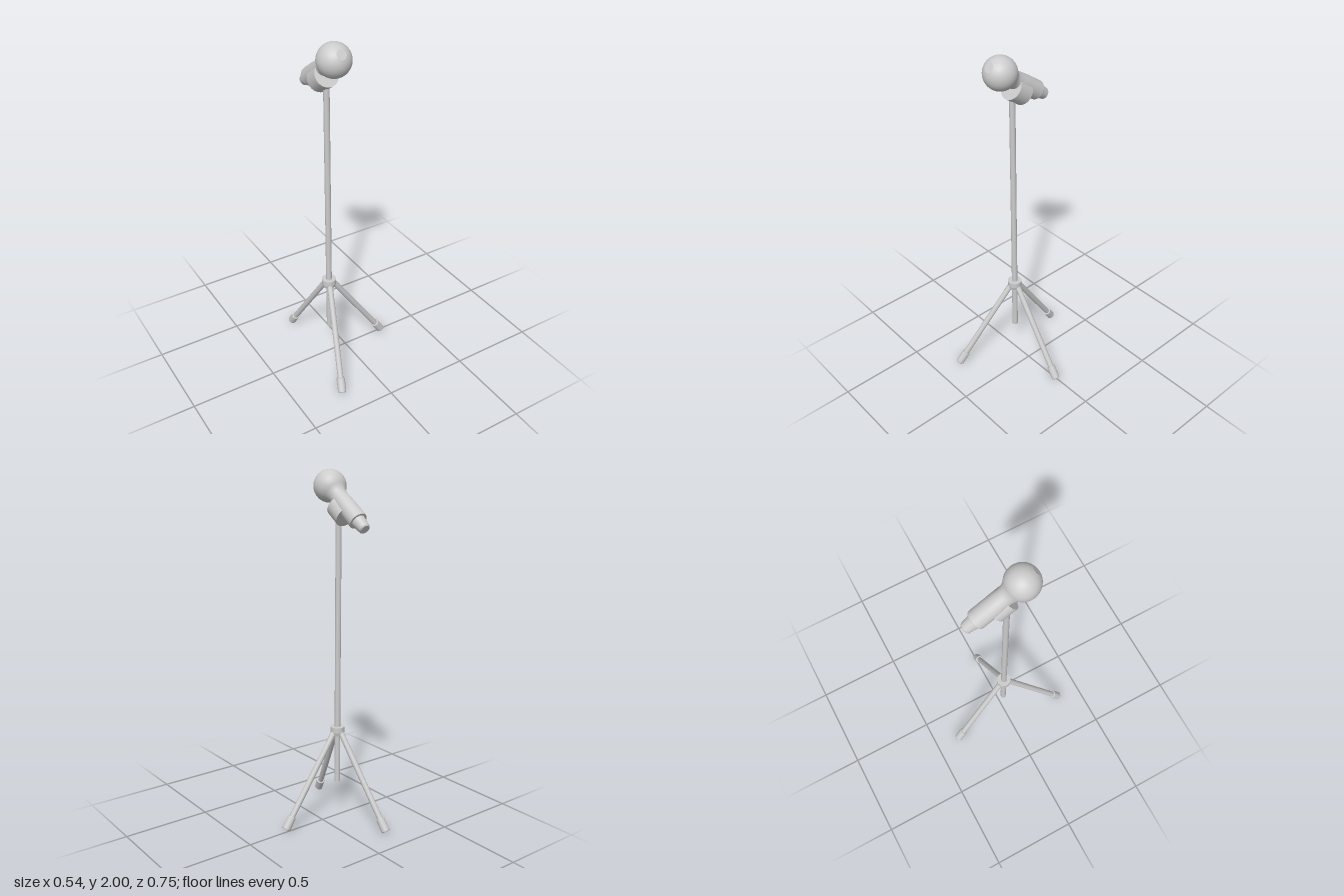
import * as THREE from 'three';

const material = new THREE.MeshStandardMaterial({ color: 0xcccccc });
const POLE_X = -0.115, POLE_Z = 0.009;

function part(name, geometry) {
  const mesh = new THREE.Mesh(geometry, material);
  mesh.name = name;
  return mesh;
}

// Lathe from [radius, height] pairs, bottom to top; a repeated pair keeps its edge sharp.
function turned(name, profile, sides = 24) {
  return part(name, new THREE.LatheGeometry(profile.map(([r, y]) => new THREE.Vector2(r, y)), sides));
}

// One leg with its rubber foot, built along local -y from the foot end upwards.
function makeLeg(azimuth) {
  const leg = new THREE.Group();
  leg.name = 'leg';
  const tilt = 0.594, length = 0.61;
  const tube = part('legTube', new THREE.CylinderGeometry(0.0165, 0.0165, length - 0.02, 16));
  tube.position.y = 0.02 + (length - 0.02) / 2;
  const foot = turned('rubberFoot', [
    [0, 0], [0.02, 0], [0.02, 0], [0.024, 0.006], [0.024, 0.006],
    [0.024, 0.078], [0.024, 0.078], [0.022, 0.081], [0.022, 0.081], [0.015, 0.081],
  ], 16);
  const slope = new THREE.Group();
  slope.add(tube, foot);
  slope.position.set(0.37, 0.0135, 0);
  slope.rotation.z = tilt;
  leg.add(slope);
  leg.rotation.y = azimuth;
  return leg;
}

// Microphone along local y, with the origin at the ball's centre.
function makeMicrophone() {
  const mic = new THREE.Group();
  mic.name = 'microphone';
  const R = 0.09, profile = [
    // tail plug
    [0, -0.364], [0.026, -0.364], [0.026, -0.364], [0.031, -0.358], [0.031, -0.358],
    [0.039, -0.296], [0.039, -0.296],
    // handle and neck
    [0.05, -0.296], [0.05, -0.296], [0.052, -0.292], [0.052, -0.292],
    [0.052, -0.19], [0.05, -0.14], [0.048, -0.105], [0.052, -0.084],
  ];
  // ball with a small flat tip
  const start = -0.82, end = 1.267, steps = 16;
  for (let i = 0; i <= steps; i++) {
    const a = start + (end - start) * i / steps;
    profile.push([R * Math.cos(a), R * Math.sin(a)]);
  }
  const tip = profile[profile.length - 1];
  profile.push([...tip], [0, tip[1]]);
  mic.add(turned('microphoneBody', profile, 32));

  // round clip under the handle
  const clip = part('clip', new THREE.CylinderGeometry(0.067, 0.067, 0.094, 32));
  clip.position.set(0, -0.161, 0.04);
  mic.add(clip);

  mic.position.y = 1.91;
  mic.position.z = 0.085 - POLE_Z;
  mic.rotation.x = THREE.MathUtils.degToRad(55);
  return mic;
}

export function createModel() {
  const model = new THREE.Group();
  model.name = 'microphoneStand';

  const pole = part('pole', new THREE.CylinderGeometry(0.0165, 0.0165, 1.555, 20));
  pole.position.y = 0.215 + 1.555 / 2;
  model.add(pole);

  // collar where the legs meet
  model.add(turned('hub', [
    [0.016, 0.505], [0.036, 0.505], [0.036, 0.505], [0.041, 0.525], [0.041, 0.525],
    [0.041, 0.555], [0.041, 0.555], [0.016, 0.555],
  ]));

  for (const degrees of [0, 100, -110]) model.add(makeLeg(THREE.MathUtils.degToRad(degrees)));

  model.add(makeMicrophone());
  model.position.set(POLE_X, 0, POLE_Z);

  const root = new THREE.Group();
  root.name = 'model';
  root.add(model);
  return root;
}
